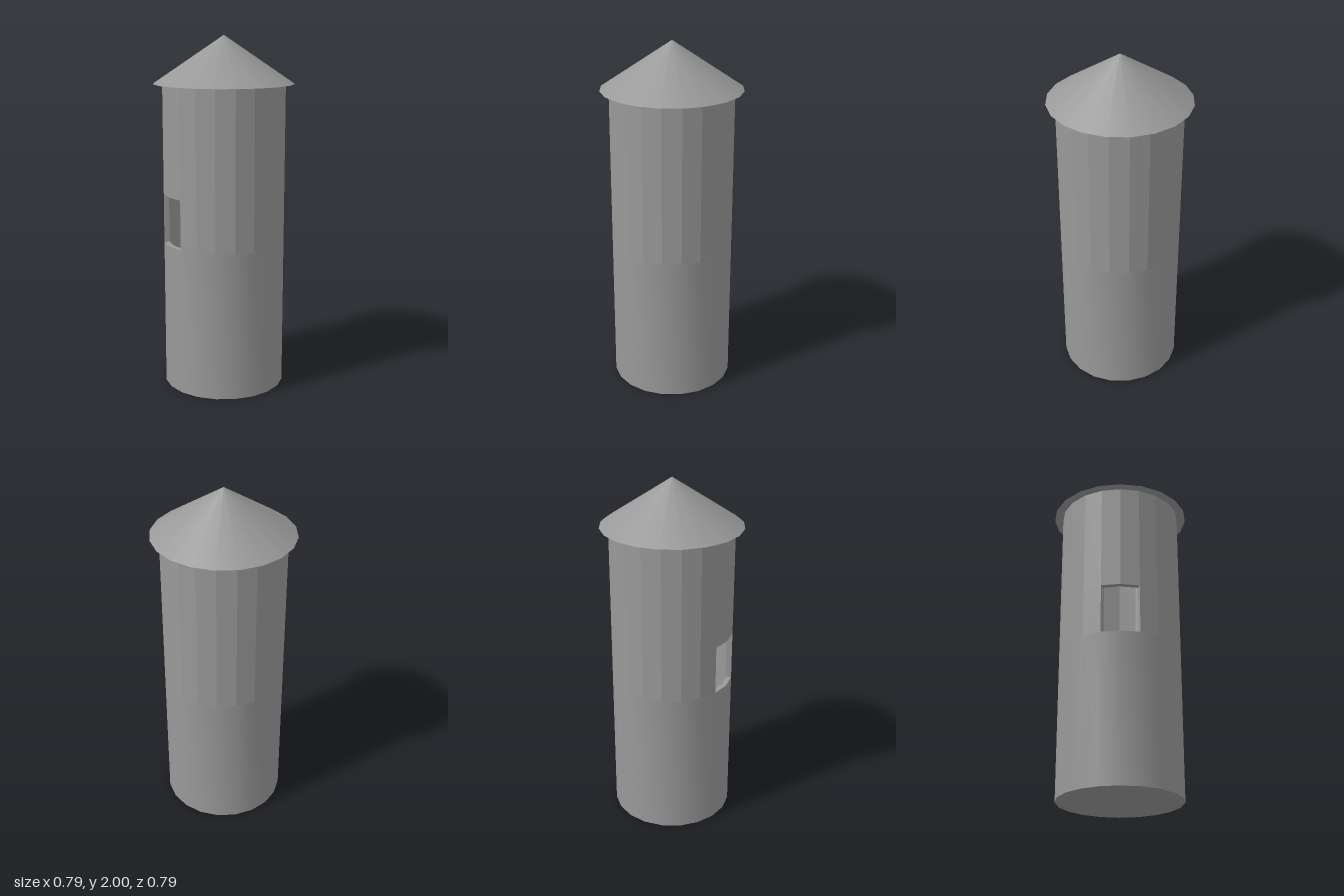
import * as THREE from 'three';
import { toCreasedNormals } from 'three/addons/utils/BufferGeometryUtils.js';

const SIDES = 20;
const OUTER = 0.345;
const INNER = 0.315;
const SILL = 0.84;
const LINTEL = 1.12;
const EAVES = 1.735;
const TOP = 2;

// Corner points of the polygon plan; step 0 is the front, rising steps go towards +x
function arc(radius, steps) {
  const points = [];
  for (let i = 0; i <= steps; i++) {
    const t = (i / SIDES) * Math.PI * 2;
    points.push(new THREE.Vector2(radius * Math.sin(t), -radius * Math.cos(t)));
  }
  return points;
}

// Raises a plan shape into a flat-sided wall between two heights
function wall(shape, bottom, top) {
  const geometry = new THREE.ExtrudeGeometry(shape, { depth: top - bottom, bevelEnabled: false });
  geometry.rotateX(-Math.PI / 2);
  geometry.translate(0, bottom, 0);
  return geometry;
}

export function createModel() {
  const group = new THREE.Group();
  group.name = 'tower';
  const stone = new THREE.MeshStandardMaterial({ color: 0x999999 });
  stone.name = 'grey';

  function add(name, geometry) {
    const mesh = new THREE.Mesh(geometry, stone);
    mesh.name = name;
    group.add(mesh);
    return mesh;
  }

  // Smooth hollow base with a closed floor
  const profile = [
    [0, 0], [OUTER, 0], [OUTER, SILL], [INNER, SILL], [INNER, 0.03], [0, 0.03],
  ].map(([r, y]) => new THREE.Vector2(r, y));
  add('lowerWall', toCreasedNormals(new THREE.LatheGeometry(profile, SIDES), 0.6));

  // Faceted wall at window height, leaving two facets open at the front
  const open = SIDES - 2;
  const windowPlan = new THREE.Shape([...arc(OUTER, open), ...arc(INNER, open).reverse()]);
  add('windowWall', wall(windowPlan, SILL, LINTEL));

  // Faceted full ring above the window
  const ringPlan = new THREE.Shape(arc(OUTER, SIDES - 1));
  ringPlan.holes.push(new THREE.Path(arc(INNER, SIDES - 1)));
  add('upperWall', wall(ringPlan, LINTEL, EAVES));

  // Overhanging conical roof
  const roof = add('roof', new THREE.ConeGeometry(0.395, TOP - EAVES, SIDES));
  roof.position.y = (TOP + EAVES) / 2;

  return group;
}
